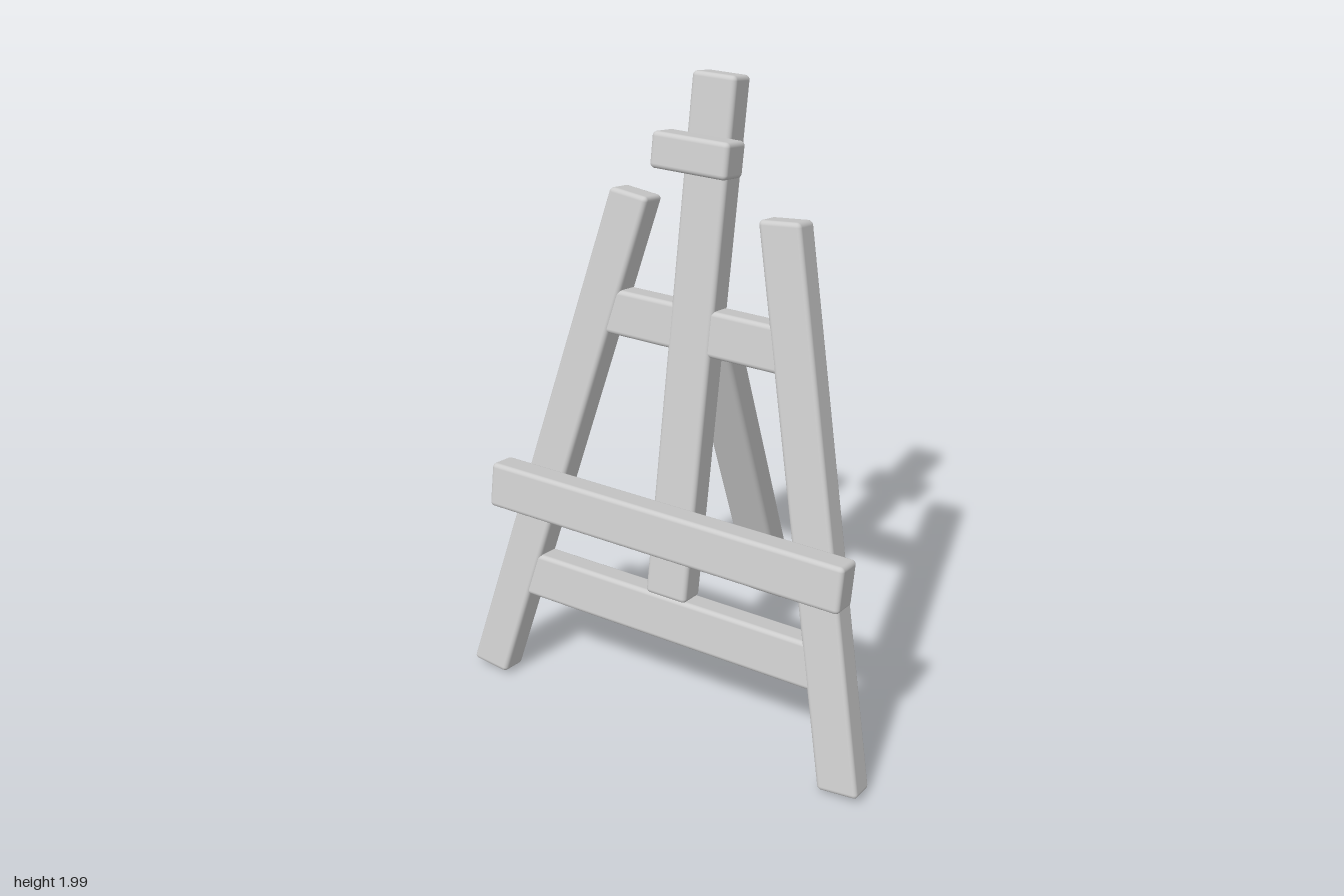
import * as THREE from 'three';
import { RoundedBoxGeometry } from 'three/addons/geometries/RoundedBoxGeometry.js';

const material = new THREE.MeshStandardMaterial({ color: 0xcccccc });
const THICK = 0.092;

// Soft-edged bar given by its width, its lower and upper ends, and its back and front faces
function bar(name, width, bottom, top, back, front) {
  const geometry = new RoundedBoxGeometry(width, top - bottom, front - back, 3, 0.014);
  const mesh = new THREE.Mesh(geometry, material);
  mesh.name = name;
  mesh.position.set(0, (bottom + top) / 2, (back + front) / 2);
  return mesh;
}

export function createModel() {
  const easel = new THREE.Group();
  easel.name = 'easel';

  // Leaning front frame: its local z = 0 is the front face of the legs
  const frame = new THREE.Group();
  frame.name = 'frontFrame';
  frame.position.set(0, 0.027, 0.41);
  frame.rotation.x = -0.192;
  easel.add(frame);

  // Splayed front legs, slanted inward with nearly level ends
  for (const side of [1, -1]) {
    const leg = bar(side > 0 ? 'leftLeg' : 'rightLeg', 0.13, 0, 1.64, -THICK, 0);
    const slant = new THREE.Matrix4().set(
      1, -0.238 * side, 0, 0,
      0.1 * side, 1, 0, 0,
      0, 0, 1, 0,
      0, 0, 0, 1);
    leg.geometry.applyMatrix4(slant);
    leg.position.x = 0.44 * side;
    frame.add(leg);
  }

  // Central mast, rails between the legs, canvas shelf and top clamp
  frame.add(
    bar('mast', 0.14, 0.436, 2.01, -THICK, 0),
    bar('upperRail', 0.6, 1.21, 1.347, -THICK + 0.002, -0.003),
    bar('lowerRail', 1.04, 0.295, 0.44, -THICK + 0.002, -0.003),
    bar('canvasShelf', 1.21, 0.6, 0.742, -0.002, 0.092),
    bar('topClamp', 0.245, 1.739, 1.842, -0.002, 0.1));

  // Rear prop leg
  const rearLeg = bar('rearLeg', 0.14, -0.6, 0.6, -0.044, 0.044);
  rearLeg.position.set(0, 0.67, -0.165);
  rearLeg.rotation.x = 0.347;
  easel.add(rearLeg);

  return easel;
}
